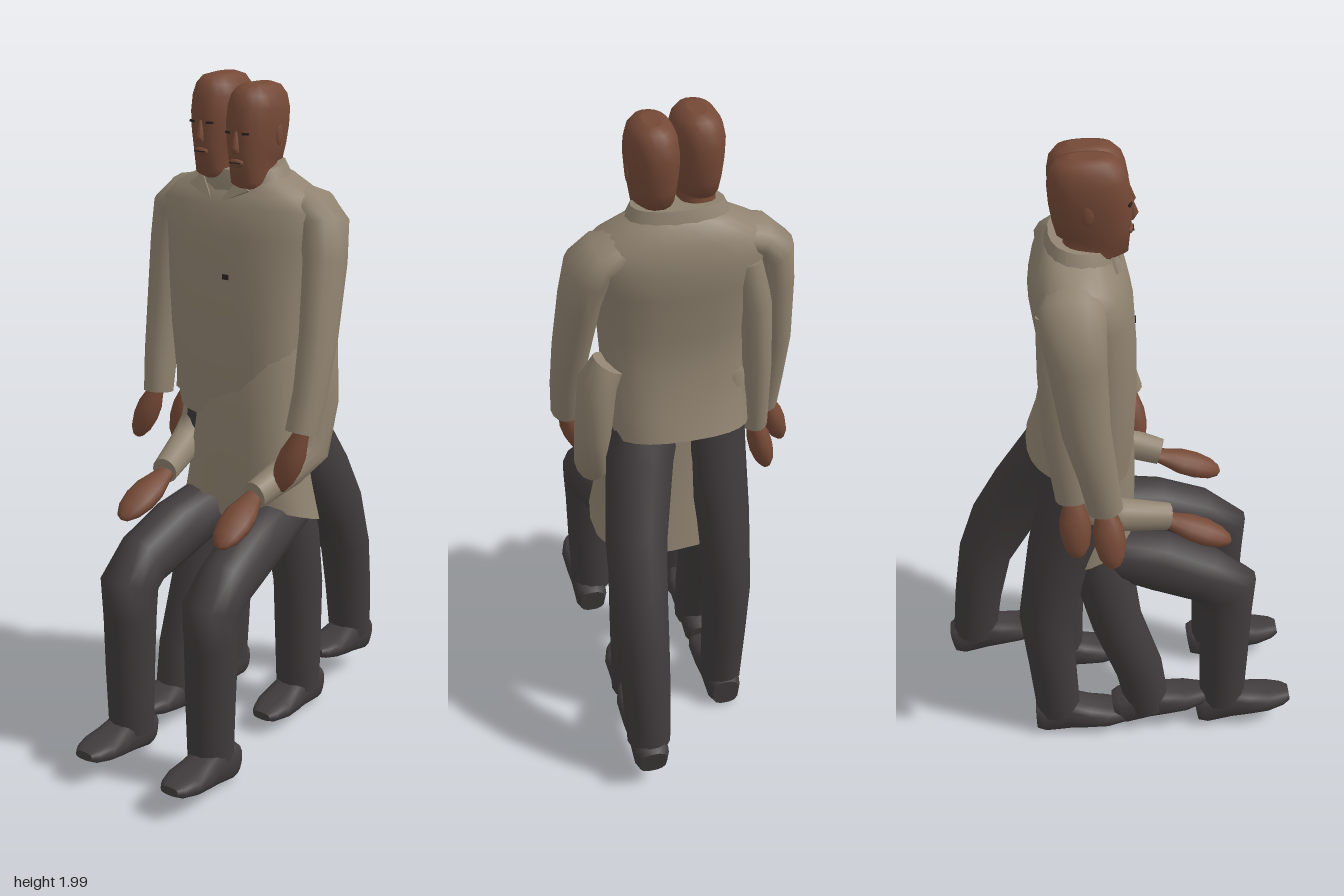
import * as THREE from 'three';

const mat = (name, color) => Object.assign(new THREE.MeshStandardMaterial({ color }), { name });

// Skin rings [x, y, z, halfSide, halfDepth, tilt] along a path, squareness p = 2 for an ellipse
function loft(rings, sides = 14, p = 2) {
  const pos = [], idx = [];
  const c = rings.map(r => new THREE.Vector3(r[0], r[1], r[2]));
  const loops = rings.map((r, i) => {
    const t = c[Math.min(i + 1, c.length - 1)].clone().sub(c[Math.max(i - 1, 0)]).normalize();
    const s = new THREE.Vector3(1, 0, 0).addScaledVector(t, -t.x).normalize();
    const o = t.clone().cross(s);
    return Array.from({ length: sides }, (_, j) => {
      const a = (j / sides) * Math.PI * 2, f = v => Math.sign(v) * Math.abs(v) ** (2 / p);
      const v = c[i].clone().addScaledVector(s, f(Math.cos(a)) * r[3]).addScaledVector(o, f(Math.sin(a)) * r[4]);
      v.y += (r[5] || 0) * (v.z - r[2]);
      return v;
    });
  });
  const push = v => pos.push(v.x, v.y, v.z) / 3 - 1;
  loops.forEach(l => l.forEach(push));
  for (let i = 0; i < rings.length - 1; i++) {
    for (let j = 0; j < sides; j++) {
      const a = i * sides + j, b = i * sides + (j + 1) % sides;
      idx.push(a, b, a + sides, b, b + sides, a + sides);
    }
  }
  // Flat end caps
  [0, rings.length - 1].forEach(e => {
    const m = push(c[e]), k = loops[e].map(push);
    k.forEach((v, j) => {
      const n = k[(j + 1) % sides];
      e ? idx.push(m, v, n) : idx.push(m, n, v);
    });
  });
  const g = new THREE.BufferGeometry();
  g.setAttribute('position', new THREE.Float32BufferAttribute(pos, 3));
  g.setIndex(idx);
  g.computeVertexNormals();
  return g;
}

export function createModel() {
  const model = new THREE.Group();
  const skin = mat('skin', 0x754936), coat = mat('coat', 0x908370);
  const cloth = mat('trousers', 0x403b3c), dark = mat('dark detail', 0x2c2220);
  const add = (name, geo, m, parent = model) => {
    const mesh = new THREE.Mesh(geo, m);
    mesh.name = name;
    parent.add(mesh);
    return mesh;
  };

  // Upper coat, flared at the back hem
  add('upperCoat', loft([
    [0, 1.055, -0.12, 0.2, 0.155, -0.03], [0, 1.15, -0.1, 0.205, 0.145], [0, 1.28, -0.085, 0.212, 0.135],
    [0, 1.4, -0.085, 0.22, 0.135], [0, 1.55, -0.1, 0.235, 0.14], [0, 1.63, -0.115, 0.26, 0.135],
    [0, 1.68, -0.12, 0.225, 0.115], [0, 1.72, -0.115, 0.15, 0.095], [0, 1.74, -0.115, 0.11, 0.08],
  ], 24, 2.5), coat);

  // Lower coat of the seated body: slanting hem over the hips and a tail hanging between the thighs
  add('lowerCoat', loft([
    [0.045, 0.72, -0.09, 0.215, 0.14, 0.5], [0.045, 0.84, -0.08, 0.19, 0.13, 0.25],
    [0.05, 1.0, -0.075, 0.168, 0.125], [0.05, 1.2, -0.09, 0.17, 0.12], [0.05, 1.3, -0.1, 0.15, 0.09],
  ], 20, 2.5), coat);
  add('coatTail', loft([
    [0.045, 0.67, -0.07, 0.03, 0.09], [0.045, 0.73, -0.06, 0.075, 0.1], [0.045, 0.82, -0.06, 0.1, 0.1],
  ], 14, 2.3), coat);

  // Collar, flaps and button
  add('collar', loft([
    [0, 1.68, -0.11, 0.16, 0.105], [0, 1.725, -0.105, 0.14, 0.095, -0.1], [0, 1.755, -0.105, 0.125, 0.085, -0.15],
  ], 18, 2.3), coat);
  for (const s of [-1, 1]) {
    const flap = new THREE.Shape([[0, 0], [0.055 * s, 0.08], [0.09 * s, 0.045]].map(q => new THREE.Vector2(...q)));
    const f = add('collarFlap', new THREE.ExtrudeGeometry(flap, { depth: 0.008, bevelEnabled: false }), coat);
    f.position.set(s * 0.01 - 0.02, 1.65, 0.005);
    f.rotation.x = -0.4;
  }
  const button = add('button', new THREE.BoxGeometry(0.018, 0.014, 0.006), dark);
  button.position.set(0.04, 1.455, 0.047);

  // Two heads, side by side and slightly merged
  [[-0.056, 0, 'rightHead'], [0.062, -0.02, 'leftHead']].forEach(([x, y, name]) => {
    const head = new THREE.Group();
    head.name = name;
    head.position.set(x, y, 0);
    model.add(head);
    add('skull', loft([
      [0, 1.67, -0.1, 0.052, 0.06], [0, 1.74, -0.09, 0.05, 0.065, -0.1], [0, 1.762, -0.06, 0.048, 0.088],
      [0, 1.8, -0.068, 0.058, 0.1], [0, 1.84, -0.073, 0.065, 0.106], [0, 1.89, -0.078, 0.07, 0.109],
      [0, 1.935, -0.084, 0.07, 0.106], [0, 1.97, -0.086, 0.062, 0.096], [0, 1.992, -0.087, 0.047, 0.076],
      [0, 2.0, -0.087, 0.024, 0.045],
    ], 18, 2.3), skin, head);
    add('nose', loft([
      [0, 1.824, 0.028, 0.012, 0.01], [0, 1.838, 0.035, 0.013, 0.014], [0, 1.88, 0.024, 0.006, 0.008],
    ], 8), skin, head);
    const lips = add('lips', new THREE.SphereGeometry(1, 10, 6), skin, head);
    lips.scale.set(0.024, 0.012, 0.01);
    lips.position.set(0, 1.795, 0.026);
    const mouth = add('mouth', new THREE.BoxGeometry(0.034, 0.003, 0.006), dark, head);
    mouth.position.set(0, 1.796, 0.034);
    for (const s of [-1, 1]) {
      const eye = add('eye', new THREE.BoxGeometry(0.02, 0.006, 0.008), dark, head);
      eye.position.set(s * 0.028, 1.876, 0.025);
      eye.rotation.y = s * 0.3;
      const ear = add('ear', new THREE.SphereGeometry(1, 8, 6), skin, head);
      ear.scale.set(0.005, 0.03, 0.016);
      ear.position.set(s * 0.067, 1.865, -0.085);
    }
  });

  // Sleeves
  const sleeves = {
    rightSleeve: [[-0.13, 1.66, -0.13, 0.05, 0.07], [-0.215, 1.64, -0.13, 0.055, 0.09], [-0.25, 1.6, -0.13, 0.065, 0.09],
      [-0.265, 1.5, -0.12, 0.058, 0.08], [-0.278, 1.3, -0.1, 0.052, 0.068], [-0.278, 1.15, -0.07, 0.048, 0.056],
      [-0.275, 1.03, -0.05, 0.043, 0.05]],
    innerRightSleeve: [[-0.17, 1.6, -0.16, 0.05, 0.07], [-0.2, 1.45, -0.16, 0.05, 0.07], [-0.212, 1.25, -0.16, 0.045, 0.062],
      [-0.22, 1.03, -0.14, 0.04, 0.05]],
    leftSleeve: [[0.13, 1.66, -0.14, 0.05, 0.07], [0.215, 1.64, -0.14, 0.055, 0.09], [0.25, 1.6, -0.135, 0.065, 0.09],
      [0.27, 1.5, -0.11, 0.058, 0.08], [0.29, 1.3, -0.05, 0.052, 0.068], [0.298, 1.15, 0.0, 0.047, 0.056],
      [0.295, 1.04, 0.04, 0.045, 0.05]],
    seatedLeftSleeve: [[0.2, 1.3, -0.14, 0.05, 0.05], [0.235, 1.24, -0.14, 0.055, 0.07], [0.25, 1.08, -0.13, 0.052, 0.07],
      [0.25, 0.94, -0.09, 0.05, 0.065], [0.23, 0.9, 0.0, 0.047, 0.052], [0.207, 0.865, 0.14, 0.038, 0.042]],
    seatedRightSleeve: [[-0.1, 1.3, -0.14, 0.05, 0.05], [-0.135, 1.24, -0.14, 0.055, 0.07], [-0.15, 1.08, -0.13, 0.052, 0.07],
      [-0.155, 0.94, -0.09, 0.05, 0.065], [-0.14, 0.9, 0.0, 0.047, 0.052], [-0.112, 0.865, 0.14, 0.038, 0.042]],
  };
  for (const [name, rings] of Object.entries(sleeves)) add(name, loft(rings, 14), coat);

  // Mitten hands from wrist to fingertip
  const hand = (name, a, b, w, d) => {
    const from = new THREE.Vector3(...a), to = new THREE.Vector3(...b);
    const ring = ([t, k]) => [...from.clone().lerp(to, t).toArray(), w * k, d * k];
    add(name, loft([[-0.15, 0.5], [0.08, 0.72], [0.3, 0.97], [0.55, 1], [0.8, 0.8], [0.95, 0.45], [1, 0.1]].map(ring), 12), skin);
  };
  hand('rightHand', [-0.285, 1.03, -0.05], [-0.345, 0.87, -0.03], 0.035, 0.045);
  hand('innerRightHand', [-0.225, 1.02, -0.14], [-0.27, 0.85, -0.13], 0.035, 0.045);
  hand('leftHand', [0.295, 1.03, 0.045], [0.24, 0.86, 0.07], 0.038, 0.042);
  hand('seatedLeftHand', [0.2, 0.85, 0.15], [0.215, 0.775, 0.33], 0.05, 0.036);
  hand('seatedRightHand', [-0.115, 0.85, 0.15], [-0.127, 0.775, 0.33], 0.05, 0.036);

  // Trouser legs and shoes: rings from hip to ankle, then heel [x, y, z] and toe pitch
  const seated = (x, hip) => [[hip, 0.72, -0.12, 0.085, 0.06], [x * 0.4 + hip * 0.6, 0.705, 0.0, 0.087, 0.085],
    [x * 0.7 + hip * 0.3, 0.675, 0.12, 0.085, 0.098], [x, 0.627, 0.26, 0.082, 0.09], [x, 0.575, 0.325, 0.08, 0.1],
    [x, 0.48, 0.325, 0.076, 0.085], [x, 0.3, 0.33, 0.073, 0.077], [x, 0.1, 0.33, 0.067, 0.072]];
  const legs = [
    ['seatedLeftLeg', seated(0.186, 0.145), [0.2, 0.005, 0.265], 0.27],
    ['seatedRightLeg', seated(-0.105, -0.055), [-0.11, 0.005, 0.265], 0.27],
    ['trailingLeftLeg', [[0.1, 1.08, -0.14, 0.1, 0.08], [0.125, 0.98, -0.17, 0.098, 0.105], [0.165, 0.78, -0.285, 0.09, 0.105],
      [0.177, 0.64, -0.365, 0.083, 0.1], [0.18, 0.5, -0.425, 0.076, 0.085], [0.18, 0.33, -0.455, 0.072, 0.077],
      [0.18, 0.16, -0.475, 0.065, 0.072]], [0.183, 0.07, -0.53], 0.3],
    ['standingRightLeg', [[-0.09, 1.1, -0.13, 0.1, 0.1], [-0.1, 0.95, -0.125, 0.1, 0.115], [-0.115, 0.75, -0.18, 0.086, 0.1],
      [-0.125, 0.5, -0.23, 0.073, 0.083], [-0.125, 0.3, -0.215, 0.068, 0.075], [-0.122, 0.09, -0.2, 0.063, 0.07]],
      [-0.122, 0.005, -0.265], 0.12],
    ['innerLeftLeg', [[0.13, 0.74, -0.14, 0.08, 0.08], [0.145, 0.62, -0.165, 0.08, 0.088], [0.155, 0.45, -0.185, 0.075, 0.08],
      [0.162, 0.09, -0.185, 0.068, 0.07]], [0.162, 0.005, -0.27], 0.15],
    ['innerRightLeg', [[-0.08, 0.74, -0.07, 0.08, 0.08], [-0.1, 0.62, -0.045, 0.08, 0.09], [-0.11, 0.45, -0.01, 0.075, 0.08],
      [-0.115, 0.25, 0.06, 0.07, 0.076], [-0.115, 0.09, 0.09, 0.066, 0.07]], [-0.115, 0.02, 0.0], 0.3],
  ];
  const shoeGeo = loft([
    [0, 0.06, 0, 0.042, 0.048], [0, 0.058, 0.025, 0.053, 0.056], [0, 0.06, 0.11, 0.054, 0.06],
    [0, 0.042, 0.17, 0.059, 0.042], [0, 0.031, 0.23, 0.06, 0.03], [0, 0.024, 0.28, 0.045, 0.022],
    [0, 0.022, 0.302, 0.03, 0.012],
  ], 14, 2.8);
  for (const [name, rings, heel, pitch] of legs) {
    add(name, loft(rings, 14), cloth);
    const shoe = add(name.replace('Leg', 'Shoe'), shoeGeo, cloth);
    shoe.position.set(...heel);
    shoe.rotation.x = -pitch;
  }
  return model;
}
